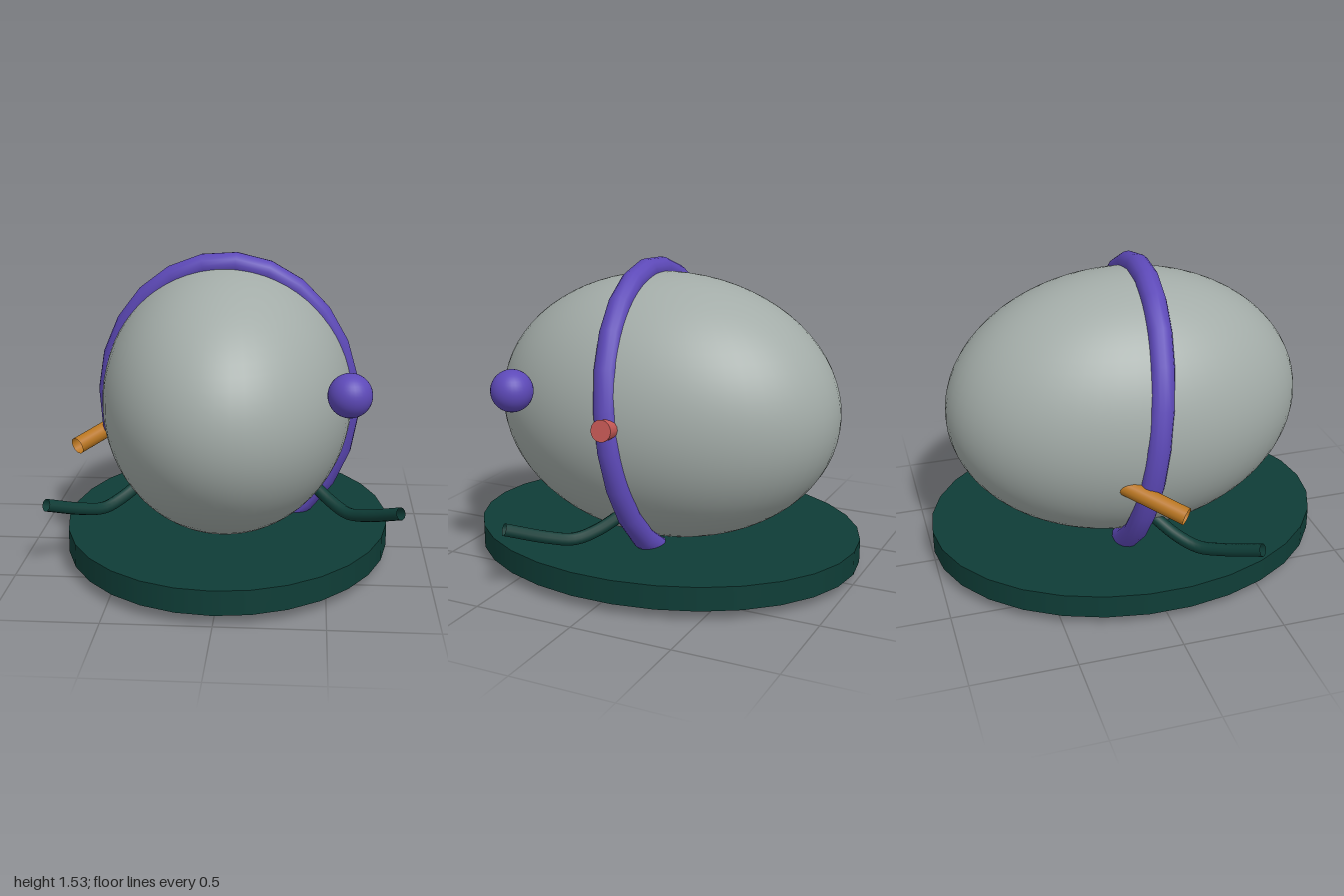
import * as THREE from 'three';

const mat = (name, color, side = THREE.FrontSide) => {
  const m = new THREE.MeshStandardMaterial({ color, side });
  m.name = name;
  return m;
};

export function createModel() {
  const model = new THREE.Group();
  const grey = mat('pale grey', 0xa3aca8);
  const green = mat('dark green', 0x0f3d37, THREE.DoubleSide);
  const purple = mat('purple', 0x5d49b8);
  const orange = mat('orange', 0xb8751f, THREE.DoubleSide);
  const red = mat('red', 0xc85a56);

  const add = (name, geometry, material, x = 0, y = 0, z = 0) => {
    const mesh = new THREE.Mesh(geometry, material);
    mesh.name = name;
    mesh.position.set(x, y, z);
    model.add(mesh);
    return mesh;
  };
  // Turns a cylinder's axis towards a direction
  const aim = (mesh, x, y, z) => mesh.quaternion.setFromUnitVectors(
    new THREE.Vector3(0, 1, 0), new THREE.Vector3(x, y, z).normalize());

  // Oval base plate
  add('basePlate', new THREE.CylinderGeometry(1, 1, 0.117, 30).scale(0.81, 1, 1), green, 0, 0.118, 0);

  // Egg-shaped body
  add('body', new THREE.SphereGeometry(1, 56, 36).scale(0.62, 0.665, 0.89), grey, 0, 0.8, 0);

  // Leaning band around the body
  const ring = new THREE.TorusGeometry(0.713, 0.058, 14, 24).rotateZ(-0.075).scale(0.853, 1, 1);
  add('band', ring, purple, 0, 0.77, 0).rotation.set(0.127, -0.02, 0);

  // Ball on one side
  add('sideBall', new THREE.SphereGeometry(0.103, 32, 20), purple, 0.592, 0.945, 0.535);

  // Flared button beside the band
  aim(add('sideButton', new THREE.CylinderGeometry(0.052, 0.042, 0.12, 16), red, 0.634, 0.831, 0), 1, 0.15, 0);

  // Open pipe on the other side
  aim(add('sidePipe', new THREE.CylinderGeometry(0.043, 0.043, 0.34, 16, 1, true), orange, -0.652, 0.585, -0.04),
    -0.64, -0.26, 0.73);

  // Mirrored bent arms
  for (const [name, s] of [['leftArm', 1], ['rightArm', -1]]) {
    const points = [[0.42, 0.36, 0.02], [0.53, 0.285, 0.12], [0.61, 0.256, 0.2], [0.70, 0.28, 0.29], [0.85, 0.347, 0.435]];
    const path = new THREE.CatmullRomCurve3(points.map(([x, y, z]) => new THREE.Vector3(s * x, y, z)));
    add(name, new THREE.TubeGeometry(path, 20, 0.031, 10), green);
  }
  return model;
}
